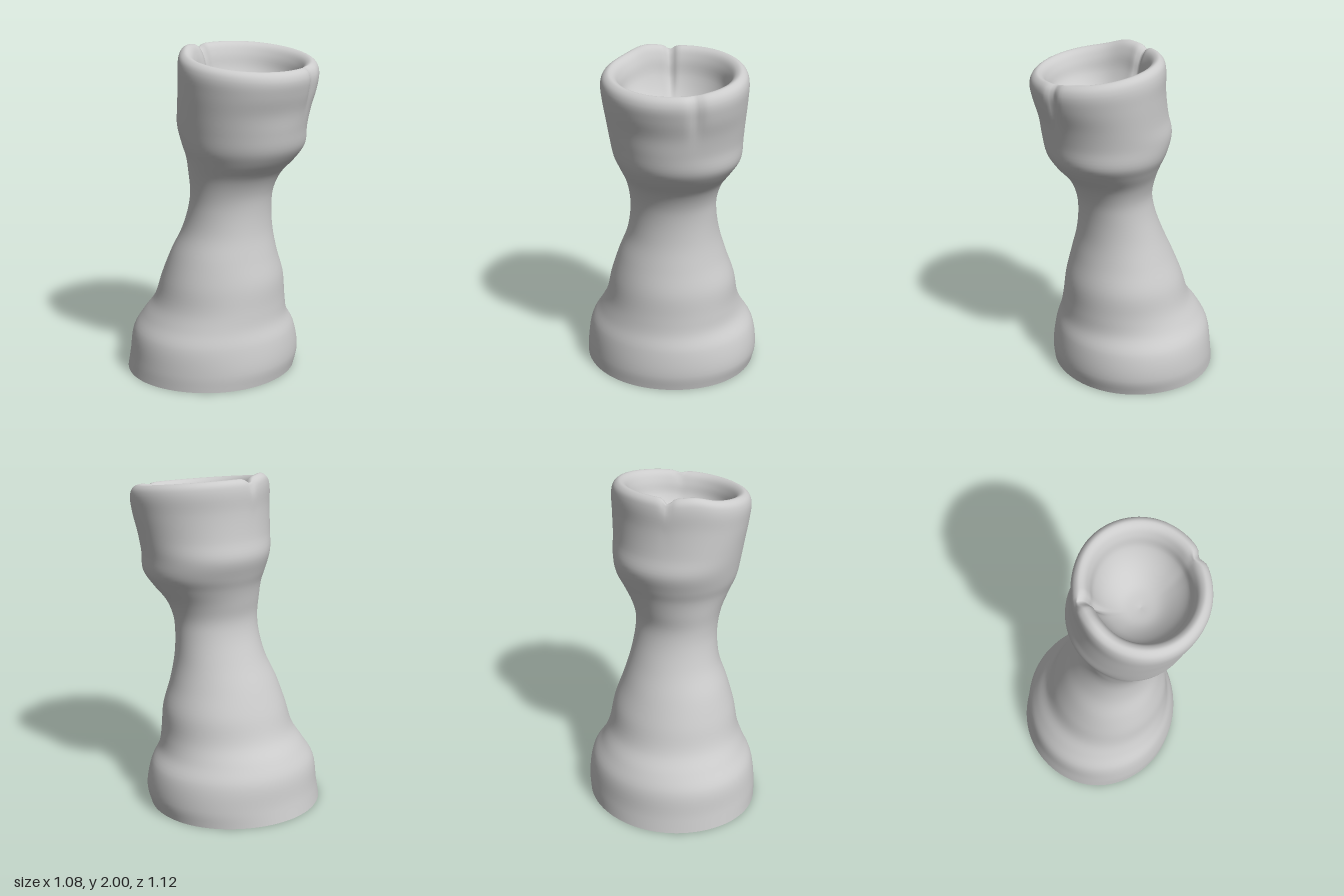
import * as THREE from 'three';

const SIDES = 112;

// Outer cross-sections from the foot up: [y, xMin, xMax, zMin, zMax]
const BODY = [
  [0, -.54, .52, -.56, .43],
  [.1, -.53, .54, -.545, .44],
  [.25, -.505, .515, -.523, .42],
  [.35, -.445, .455, -.47, .39],
  [.45, -.39, .428, -.4, .375],
  [.6, -.35, .41, -.348, .36],
  [.75, -.3, .362, -.285, .325],
  [.9, -.238, .325, -.218, .293],
  [1.05, -.21, .31, -.165, .285],
  [1.15, -.21, .315, -.15, .3],
  [1.25, -.225, .35, -.165, .345],
  [1.35, -.25, .42, -.19, .43],
  [1.43, -.278, .467, -.22, .478],
  [1.54, -.3, .474, -.25, .5],
  [1.65, -.314, .488, -.227, .517],
  [1.78, -.325, .508, -.21, .547],
  [1.88, -.328, .515, -.208, .56],
];

// Rounded rim and hollow cup: [y, share of the top section's radius]
const CUP = [
  [1.925, .965], [1.945, .89], [1.93, .81], [1.88, .74],
  [1.8, .68], [1.71, .52], [1.64, .28], [1.62, 0],
];

// Each section as an ellipse: y, centre, radii
const ellipse = ([y, x0, x1, z0, z1]) => ({
  y, cx: (x0 + x1) / 2, cz: (z0 + z1) / 2, rx: (x1 - x0) / 2, rz: (z1 - z0) / 2,
});
const outer = BODY.map(ellipse);
const top = outer[outer.length - 1];
const cup = CUP.map(([y, s]) => ({ ...top, y, rx: top.rx * s, rz: top.rz * s }));
const SECTIONS = [...outer, ...cup];

// Smooth bump of height 1 at angle c with half-width w
const bump = (a, c, w) => {
  const d = Math.atan2(Math.sin(a - c), Math.cos(a - c)) / w;
  return Math.exp(-d * d);
};

const FRONT_GROOVE = 1.0;
const SEAM = -1.93;

// Uneven rim: high at the back, with a raised lap beside the seam notch
const rimHeight = (a) => -.047 * Math.sin(a)
  + .022 * bump(a, -2.35, .28)
  - .03 * bump(a, SEAM, .07)
  - .008 * bump(a, FRONT_GROOVE, .12);

// Vertical profile of the whole piece at one angle
function profileAt(a) {
  const points = SECTIONS.map(({ y, cx, cz, rx, rz }, i) => {
    const inside = i - outer.length;
    // groove pressed into the front of the wall, notch in the inner lip
    const groove = inside < 2 ? .06 * bump(a, FRONT_GROOVE, .085) * THREE.MathUtils.smoothstep(y, 1.58, 1.86) : 0;
    const notch = inside >= 1 && inside < 5 ? .06 * bump(a, SEAM, .07) : 0;
    // gentle hand-modelled unevenness
    const lump = .005 * Math.sin(3 * a + 5 * y) * Math.sin(9 * y + 2 * a);
    const k = 1 + lump - groove + notch;
    const tilt = THREE.MathUtils.smoothstep(y, 1.62, 1.93);
    return new THREE.Vector3(
      cx + rx * Math.cos(a) * k,
      y + tilt * rimHeight(a),
      cz + rz * Math.sin(a) * k,
    );
  });
  return new THREE.CatmullRomCurve3(points).getPoints((SECTIONS.length - 1) * 5);
}

function makeMesh(name, points, index, material) {
  const g = new THREE.BufferGeometry().setFromPoints(points);
  g.setIndex(index);
  g.computeVertexNormals();
  const mesh = new THREE.Mesh(g, material);
  mesh.name = name;
  return mesh;
}

export function createModel() {
  const group = new THREE.Group();
  group.name = 'clayRook';
  const material = new THREE.MeshStandardMaterial({ color: 0xcccccc });

  const columns = [];
  for (let i = 0; i < SIDES; i++) columns.push(profileAt(i / SIDES * Math.PI * 2));
  const rows = columns[0].length;

  // Body with hollow cup, and a fan for the flat underside
  const walls = [], fan = [];
  for (let i = 0; i < SIDES; i++) {
    const next = (i + 1) % SIDES;
    const a = i * rows, b = next * rows;
    for (let j = 0; j < rows - 1; j++) {
      walls.push(a + j, a + j + 1, b + j);
      if (j < rows - 2) walls.push(b + j, a + j + 1, b + j + 1);
    }
    fan.push(0, i + 1, next + 1);
  }
  const foot = [new THREE.Vector3(0, 0, -.06), ...columns.map((c) => c[0])];
  group.add(
    makeMesh('body', columns.flat(), walls, material),
    makeMesh('underside', foot, fan, material),
  );
  return group;
}
